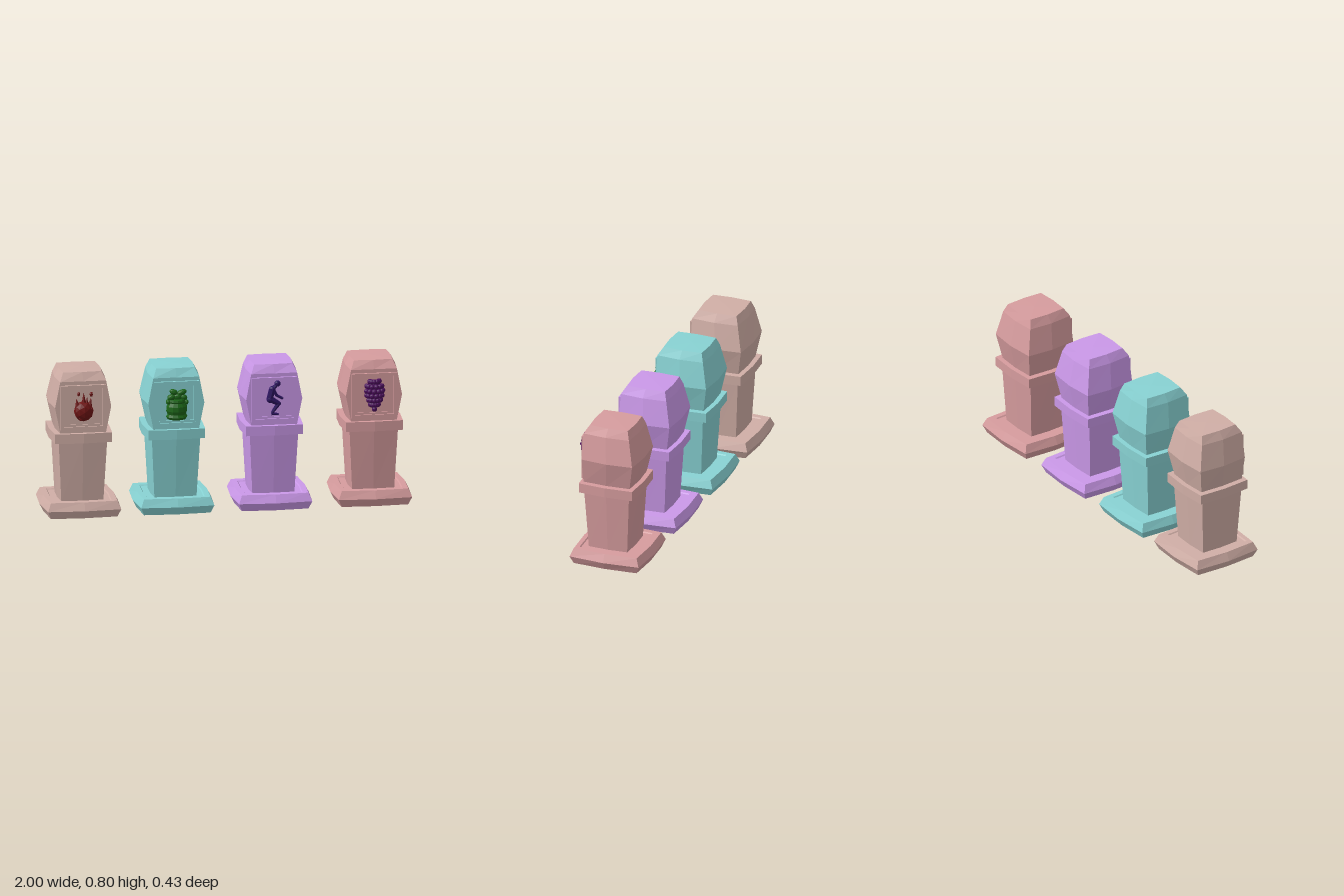
import * as THREE from 'three';

const mat = (color) => new THREE.MeshStandardMaterial({ color, flatShading: true, side: THREE.DoubleSide });

function add(parent, name, geometry, material, x = 0, y = 0, z = 0) {
  const mesh = new THREE.Mesh(geometry, material);
  mesh.name = name;
  mesh.position.set(x, y, z);
  parent.add(mesh);
  return mesh;
}

// Eight-point square section with bowed sides: [y, halfX, front, back, bow, frontBow]
function section([y, hx, f, b, bow, frontBow = bow]) {
  const m = (f - b) / 2;
  return [[0, f + frontBow], [hx, f], [hx + bow, m], [hx, -b], [0, -b - bow], [-hx, -b], [-hx - bow, m], [-hx, f]]
    .map(([x, z]) => [x, y, z]);
}

// Skin between sections, closed at both ends
function loft(rows, bottomY = rows[0][0], topY = rows[rows.length - 1][0]) {
  const rings = rows.map(section);
  const pos = [];
  const tri = (...pts) => pts.forEach((p) => pos.push(...p));
  const last = rings[rings.length - 1];
  for (let i = 0; i < 8; i++) {
    const j = (i + 1) % 8;
    for (let k = 0; k < rings.length - 1; k++) {
      const a = rings[k], b = rings[k + 1];
      tri(a[i], a[j], b[j]);
      tri(a[i], b[j], b[i]);
    }
    tri([0, bottomY, 0], rings[0][j], rings[0][i]);
    tri([0, topY, 0], last[i], last[j]);
  }
  const g = new THREE.BufferGeometry();
  g.setAttribute('position', new THREE.Float32BufferAttribute(pos, 3));
  g.computeVertexNormals();
  return g;
}

function squareFrame(half, inner, depth) {
  const square = (s, Type) => new Type([[-s, -s], [s, -s], [s, s], [-s, s]].map(([x, y]) => new THREE.Vector2(x, y)));
  const shape = square(half, THREE.Shape);
  shape.holes.push(square(inner, THREE.Path));
  return new THREE.ExtrudeGeometry(shape, { depth, bevelEnabled: false });
}

function blob(parent, name, material, x, y, z, rx, ry = rx, rz = rx, detail = 1) {
  const m = add(parent, name, new THREE.IcosahedronGeometry(1, detail), material, x, y, z);
  m.scale.set(rx, ry, rz);
  return m;
}

// Tapered limb between two points of the panel plane
function limb(parent, name, material, [x1, y1], [x2, y2], r1, r2, z) {
  const a = new THREE.Vector3(x1, y1, z), b = new THREE.Vector3(x2, y2, z);
  const dir = b.clone().sub(a);
  const m = add(parent, name, new THREE.CylinderGeometry(r2, r1, dir.length(), 7), material);
  m.position.copy(a).add(b).multiplyScalar(0.5);
  m.quaternion.setFromUnitVectors(new THREE.Vector3(0, 1, 0), dir.normalize());
  blob(parent, name + 'Joint', material, x2, y2, z, r2);
}

// Fireball with flame tongues and sparks
function flameEmblem(g) {
  const m = mat(0x6e1414);
  blob(g, 'fireball', m, 0, 0.592, 0.163, 0.053, 0.056, 0.042);
  for (const [x, y, h, tilt] of [[-0.036, 0.635, 0.06, 0.15], [0, 0.655, 0.085, 0.03], [0.034, 0.635, 0.065, -0.15], [0.015, 0.64, 0.06, -0.1]]) {
    const c = add(g, 'flameTongue', new THREE.ConeGeometry(0.018, h, 6), m, x, y, 0.168);
    c.rotation.z = tilt;
  }
  for (let i = 0; i < 9; i++) {
    const a = i * 2.4, r = 0.014 * Math.sqrt(i);
    blob(g, 'ember', m, r * Math.cos(a), 0.588 + r * Math.sin(a), 0.192 - r * 0.35, 0.014, 0.016, 0.012, 0);
  }
  blob(g, 'spark', m, -0.027, 0.686, 0.162, 0.009, 0.013, 0.009, 0);
  blob(g, 'spark', m, 0.041, 0.683, 0.162, 0.01, 0.014, 0.009, 0);
}

// Squat jar with leafy lobes on top
function jarEmblem(g) {
  const m = mat(0x1c6418);
  const profile = [[0, 0.53], [0.05, 0.53], [0.058, 0.543], [0.05, 0.556], [0.057, 0.575], [0.055, 0.6], [0.043, 0.618], [0.05, 0.626], [0.046, 0.637], [0, 0.64]]
    .map(([x, y]) => new THREE.Vector2(x, y));
  const jar = add(g, 'jar', new THREE.LatheGeometry(profile, 12), m, 0, 0, 0.16);
  jar.scale.z = 0.9;
  const lobes = [[-0.03, 0.65, 0.024, 0.018, 0.3], [-0.018, 0.678, 0.024, 0.016, -0.4], [0.026, 0.675, 0.028, 0.016, 0.35], [0.036, 0.648, 0.02, 0.016, -0.2], [0.004, 0.652, 0.024, 0.02, 0], [-0.048, 0.625, 0.013, 0.015, 0], [0.05, 0.622, 0.012, 0.015, 0]];
  for (const [x, y, rx, ry, tilt] of lobes) blob(g, 'lobe', m, x, y, 0.17, rx, ry, 0.018).rotation.z = tilt;
}

// Stooping figure with bent knees
function figureEmblem(g) {
  const m = mat(0x2c1460), z = 0.157;
  blob(g, 'head', m, 0.016, 0.698, z, 0.017, 0.018, 0.016);
  limb(g, 'torso', m, [-0.026, 0.612], [-0.012, 0.668], 0.018, 0.018, z);
  limb(g, 'neck', m, [-0.012, 0.668], [0.01, 0.69], 0.013, 0.01, z);
  limb(g, 'upperArm', m, [-0.008, 0.668], [0.01, 0.635], 0.01, 0.008, z + 0.006);
  limb(g, 'forearm', m, [0.01, 0.635], [0.04, 0.618], 0.008, 0.007, z + 0.006);
  limb(g, 'thigh', m, [-0.024, 0.614], [0.022, 0.588], 0.019, 0.013, z);
  limb(g, 'shin', m, [0.022, 0.588], [-0.012, 0.54], 0.013, 0.008, z);
  limb(g, 'foot', m, [-0.016, 0.533], [0.018, 0.53], 0.009, 0.006, z);
  blob(g, 'hip', m, -0.025, 0.612, z, 0.019);
}

// Hanging bunch of berries
function bunchEmblem(g) {
  const m = mat(0x4c0f5c);
  blob(g, 'bunchCore', m, 0, 0.635, 0.162, 0.045, 0.062, 0.036);
  for (let row = 0; row < 7; row++) {
    const w = [0.026, 0.04, 0.045, 0.041, 0.033, 0.021, 0.006][row];
    const y = 0.69 - row * 0.0255, n = row < 6 ? 6 : 1;
    for (let i = 0; i < n; i++) {
      const a = n === 1 ? Math.PI / 2 : (i + (row % 2) * 0.5) * Math.PI / 5.5;
      blob(g, 'berry', m, w * Math.cos(a), y, 0.16 + w * 0.8 * Math.sin(a), 0.0145);
    }
  }
}

function pillar(name, x, color, emblem) {
  const g = new THREE.Group();
  g.name = name;
  g.position.x = x;
  const m = mat(color);
  add(g, 'base', loft([
    [0.009, 0.18, 0.18, 0.18, 0.011], [0.052, 0.198, 0.198, 0.198, 0.015],
    [0.096, 0.18, 0.18, 0.18, 0.011], [0.096, 0.152, 0.158, 0.14, 0.008], [0.09, 0.147, 0.153, 0.135, 0.008],
  ], 0.002), m);
  add(g, 'column', loft([[0.088, 0.114, 0.12, 0.1, 0.006], [0.418, 0.131, 0.14, 0.117, 0.008]]), m);
  add(g, 'collar', loft([[0.416, 0.154, 0.162, 0.143, 0.01], [0.469, 0.154, 0.162, 0.143, 0.01]]), m);
  add(g, 'head', loft([
    [0.465, 0.123, 0.147, 0.117, 0.008, 0], [0.61, 0.152, 0.147, 0.143, 0.013, 0],
    [0.752, 0.124, 0.147, 0.114, 0.011, 0], [0.798, 0.104, 0.118, 0.099, 0.007],
  ], 0.465, 0.8), m);
  // Raised frame with a thinner step inside it
  add(g, 'panelFrame', squareFrame(0.122, 0.105, 0.014), m, 0, 0.61, 0.146);
  add(g, 'panelStep', squareFrame(0.105, 0.094, 0.006), m, 0, 0.61, 0.146);
  const e = new THREE.Group();
  e.name = 'emblem';
  emblem(e);
  g.add(e);
  return g;
}

export function createModel() {
  const model = new THREE.Group();
  model.name = 'pillarRow';
  model.add(
    pillar('tanPillar', -0.787, 0xd0aea6, flameEmblem),
    pillar('tealPillar', -0.283, 0x88d2d3, jarEmblem),
    pillar('violetPillar', 0.247, 0xca98e8, figureEmblem),
    pillar('rosePillar', 0.787, 0xd69c9e, bunchEmblem),
  );
  return model;
}
